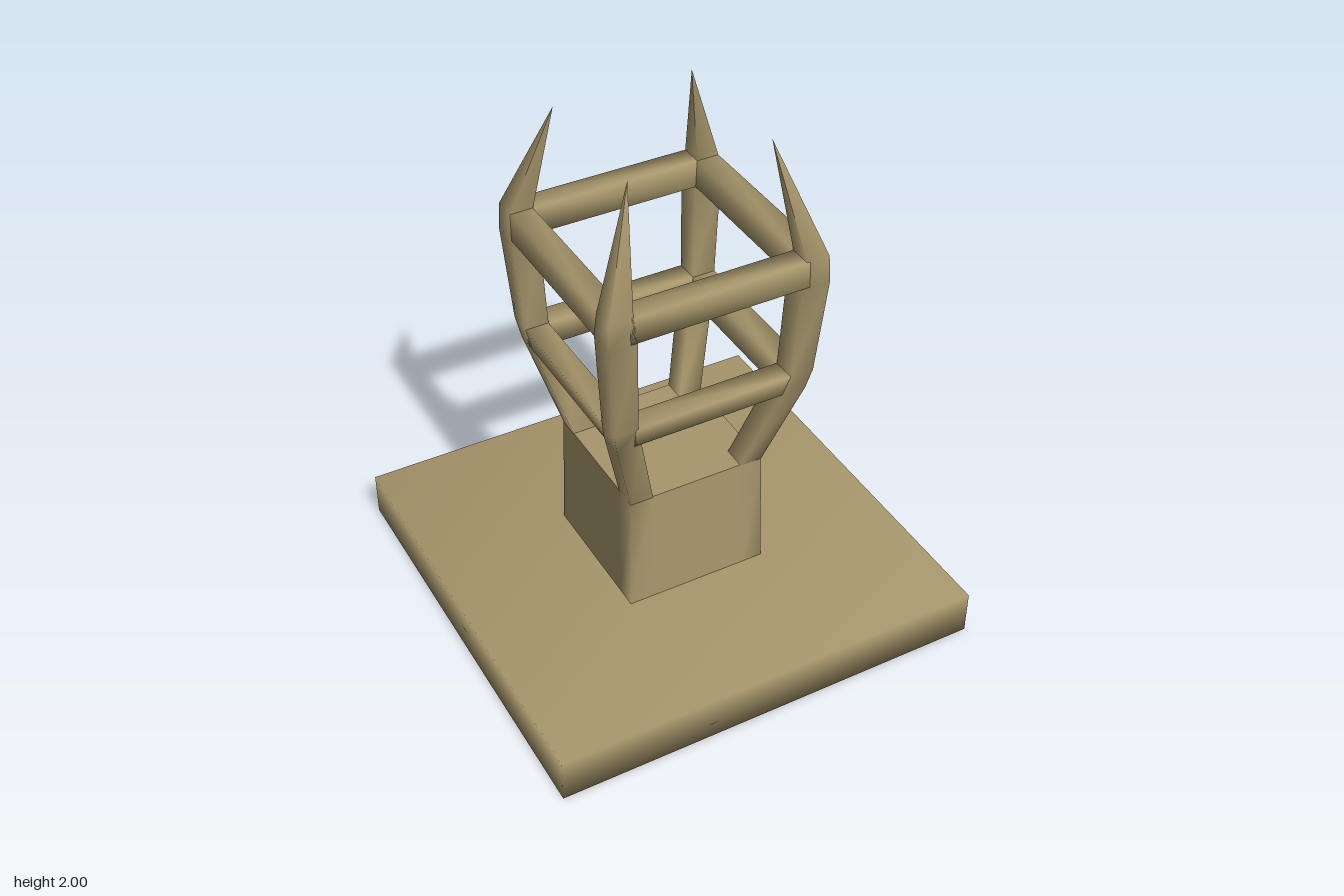
import * as THREE from 'three';
import { mergeVertices } from 'three/addons/utils/BufferGeometryUtils.js';

// Smooth skin through equal-length rings of [x, y, z] points (open ends)
function loft(rings) {
  const n = rings[0].length, index = [];
  for (let r = 0; r < rings.length - 1; r++) {
    for (let j = 0; j < n; j++) {
      const a = r * n + j, b = r * n + (j + 1) % n;
      index.push(a, b, b + n, a, b + n, a + n);
    }
  }
  const g = new THREE.BufferGeometry();
  g.setAttribute('position', new THREE.Float32BufferAttribute(rings.flat(2), 3));
  g.setIndex(index);
  g.computeVertexNormals();
  return g;
}

// Box with shared, softened corner normals
function softBox(w, h, d) {
  const g = new THREE.BoxGeometry(w, h, d);
  g.deleteAttribute('uv');
  g.deleteAttribute('normal');
  const m = mergeVertices(g);
  m.computeVertexNormals();
  return m;
}

export function createModel() {
  const model = new THREE.Group();
  model.name = 'crownStand';
  const stone = new THREE.MeshStandardMaterial({ color: 0xa8976c });
  stone.name = 'sandstone';

  const add = (name, geometry, parent = model) => {
    const mesh = new THREE.Mesh(geometry, stone);
    mesh.name = name;
    parent.add(mesh);
    return mesh;
  };

  // Square base slab
  add('baseSlab', softBox(1.69, 0.175, 1.69)).position.y = 0.0875;

  // Slightly tapered pedestal, with extra points beside each corner
  const pedestalRing = (y, o, i) => [
    [-i, y, o], [i, y, o], [o, y, o], [o, y, i], [o, y, -i], [o, y, -o],
    [i, y, -o], [-i, y, -o], [-o, y, -o], [-o, y, -i], [-o, y, i], [-o, y, o],
  ];
  add('pedestal', loft([pedestalRing(0.17, 0.28, 0.2), pedestalRing(0.655, 0.27, 0.18)]));
  const deck = add('pedestalTop', new THREE.PlaneGeometry(0.54, 0.54));
  deck.rotation.x = -Math.PI / 2;
  deck.position.y = 0.655;

  // Corner post rising into a spike: [height, outer, inner]
  const postProfile = [
    [0.65, 0.27, 0.18], [1.015, 0.375, 0.28], [1.1, 0.392, 0.3],
    [1.485, 0.42, 0.315], [1.585, 0.415, 0.327], [2, 0.265, 0.265],
  ];
  const post = loft(postProfile.map(([y, o, i]) => [[i, y, o], [o, y, o], [o, y, i], [i, y, i]]));

  // Horizontal rail along x, on the +z side
  const rail = (half, y0, y1, o0, o1, i0, i1) => loft([-half, half].map((x) => [
    [x, y1, o1], [x, y0, o0], [x, y0, i0], [x, y1, i1],
  ]));
  const lowerRail = rail(0.31, 1.015, 1.1, 0.375, 0.392, 0.285, 0.3);
  const upperRail = rail(0.34, 1.485, 1.585, 0.42, 0.415, 0.315, 0.327);

  // Four identical sides
  for (let k = 0; k < 4; k++) {
    const side = new THREE.Group();
    side.name = 'cageSide' + (k + 1);
    side.rotation.y = k * Math.PI / 2;
    add('spikedPost', post, side);
    add('lowerRail', lowerRail, side);
    add('upperRail', upperRail, side);
    model.add(side);
  }
  return model;
}
